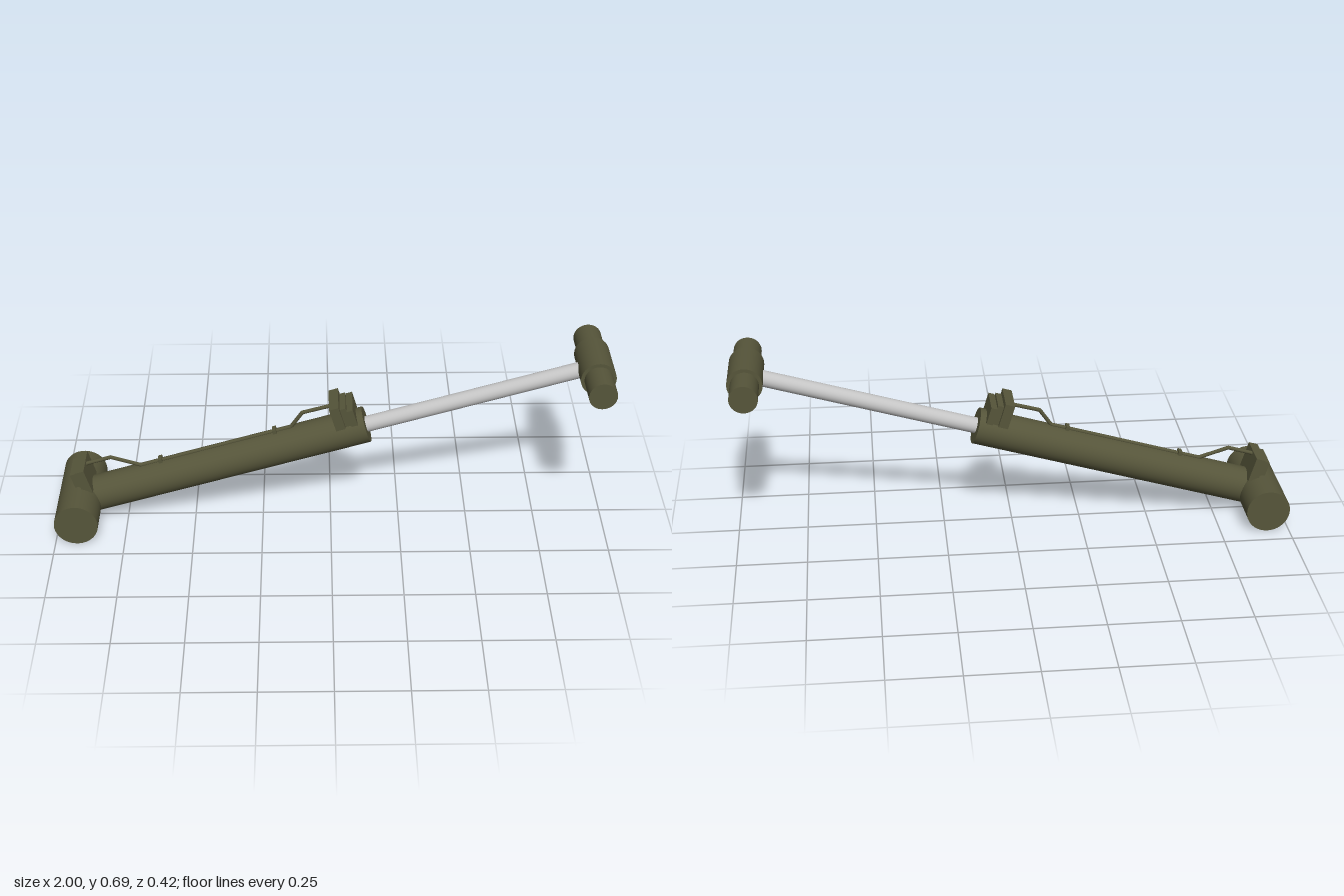
import * as THREE from 'three';

export function createModel() {
  const olive = new THREE.MeshStandardMaterial({ color: 0x56553a });
  olive.name = 'olive paint';
  const steel = new THREE.MeshStandardMaterial({ color: 0xc4c4c4 });
  steel.name = 'polished steel';

  const model = new THREE.Group();
  model.name = 'hydraulicCylinder';

  // Tilted frame: local x runs along the ram, local y away from it
  const ram = new THREE.Group();
  ram.name = 'ram';
  const angle = Math.atan2(0.546, 1.856);
  const length = 1.935;
  ram.position.set(-0.921, 0.079, 0);
  ram.rotation.z = angle;
  model.add(ram);

  const add = (name, geometry, material = olive) => {
    const mesh = new THREE.Mesh(geometry, material);
    mesh.name = name;
    ram.add(mesh);
    return mesh;
  };
  const crossTube = (name, u, radius, half) =>
    add(name, new THREE.CylinderGeometry(radius, radius, half * 2, 40).rotateX(Math.PI / 2).translate(u, 0, 0));
  const alongTube = (name, u0, u1, radius, material) =>
    add(name, new THREE.CylinderGeometry(radius, radius, u1 - u0, 40).rotateZ(-Math.PI / 2).translate((u0 + u1) / 2, 0, 0), material);
  const block = (name, u0, u1, v0, v1, half) =>
    add(name, new THREE.BoxGeometry(u1 - u0, v1 - v0, half * 2).translate((u0 + u1) / 2, (v0 + v1) / 2, 0));

  // Base trunnion, barrel, rod and rod eye
  crossTube('baseTrunnion', 0, 0.079, 0.185);
  alongTube('barrel', 0, 1.095, 0.066);
  alongTube('pistonRod', 1.05, length, 0.029, steel);
  crossTube('rodEyeSleeve', length, 0.0625, 0.093);
  crossTube('rodEyePin', length, 0.05, 0.208);

  // Port blocks at both ends of the barrel
  block('basePortBlock', 0.035, 0.07, 0.045, 0.142, 0.068);
  block('basePortCover', 0.012, 0.035, 0.055, 0.132, 0.055);
  block('headPortBlock', 0.993, 1.028, 0.043, 0.135, 0.068);
  block('headPortCover', 1.028, 1.05, 0.043, 0.118, 0.055);
  block('headPortFlange', 1.05, 1.073, 0.043, 0.108, 0.064);

  // Hydraulic line bent from straight runs with rounded joints
  const points = [[0.05, 0.125], [0.075, 0.132], [0.164, 0.132], [0.259, 0.068],
    [0.831, 0.068], [0.888, 0.114], [1.0, 0.112]].map(([u, v]) => new THREE.Vector3(u, v, 0));
  const pipeRadius = 0.007;
  for (let i = 1; i < points.length; i++) {
    const direction = points[i].clone().sub(points[i - 1]);
    const run = add('pipeRun', new THREE.CylinderGeometry(pipeRadius, pipeRadius, direction.length(), 10));
    run.position.copy(points[i]).add(points[i - 1]).multiplyScalar(0.5);
    run.quaternion.setFromUnitVectors(new THREE.Vector3(0, 1, 0), direction.normalize());
    if (i < points.length - 1) {
      add('pipeBend', new THREE.SphereGeometry(pipeRadius, 10, 8)).position.copy(points[i]);
    }
  }

  // Pipe clips on the barrel
  for (const u of [0.335, 0.77]) block('pipeClip', u - 0.007, u + 0.007, 0.055, 0.079, 0.016);

  return model;
}
